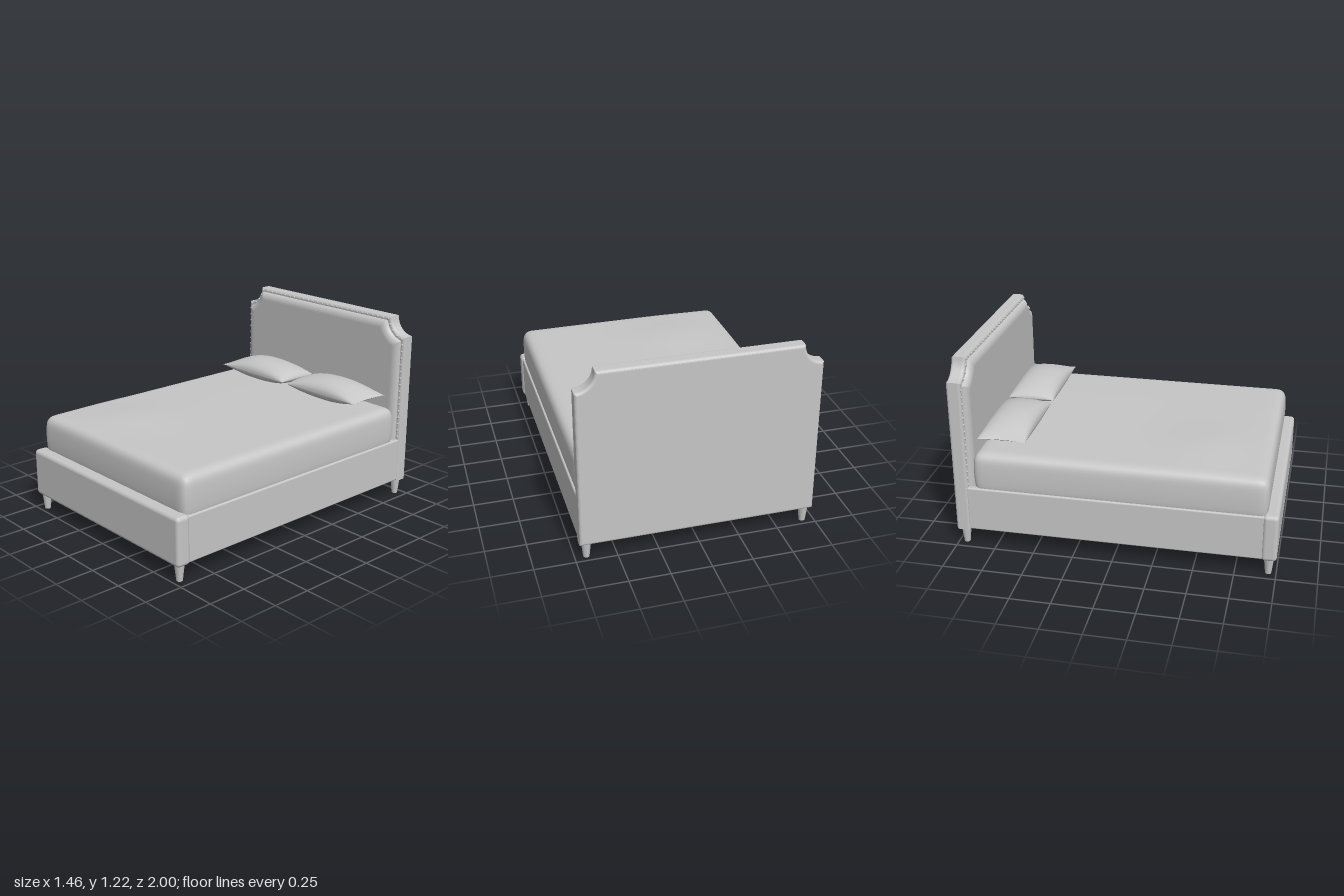
import * as THREE from 'three';
import { RoundedBoxGeometry } from 'three/addons/geometries/RoundedBoxGeometry.js';
import { mergeVertices } from 'three/addons/utils/BufferGeometryUtils.js';

const fabric = new THREE.MeshStandardMaterial({ color: 0xc6c6c6 });
fabric.name = 'grey fabric';

function add(parent, name, geometry, x = 0, y = 0, z = 0) {
  const mesh = new THREE.Mesh(geometry, fabric);
  mesh.name = name;
  mesh.position.set(x, y, z);
  parent.add(mesh);
  return mesh;
}

// Headboard edge with scooped upper corners, from lower right round to lower left
function headboardEdge(inset, bottom, Type) {
  const w = 0.725, top = 1.22, r = 0.118 + inset;
  const reach = Math.sqrt(r * r - inset * inset);
  const p = new Type();
  p.moveTo(w - inset, bottom);
  p.lineTo(w - inset, top - reach);
  p.absarc(w, top, r, Math.atan2(-reach, -inset), Math.atan2(-inset, -reach) - (inset ? 0 : 0.0001), true);
  p.lineTo(reach - w, top - inset);
  p.absarc(-w, top, r, Math.atan2(-inset, reach), Math.atan2(-reach, inset), true);
  p.lineTo(inset - w, bottom);
  return p;
}

function headboardSlab(inset, bottom, depth, bevelThickness, bevelSize, bevelSegments) {
  const shape = headboardEdge(inset + bevelSize, bottom, THREE.Shape);
  return new THREE.ExtrudeGeometry(shape, {
    depth, bevelThickness, bevelSize, bevelSegments, curveSegments: 12,
  });
}

// Rounded block with dense rows near its edges, full sides and a slightly rumpled top
function mattressGeometry(w, h, d, r) {
  const g = new THREE.BoxGeometry(2, 2, 2, 32, 16, 32);
  const pos = g.attributes.position;
  const half = new THREE.Vector3(w / 2, h / 2, d / 2);
  const core = half.clone().subScalar(r);
  const low = core.clone().negate();
  const p = new THREE.Vector3(), c = new THREE.Vector3();
  const spread = (t) => Math.sin(t * Math.PI / 2);
  for (let i = 0; i < pos.count; i++) {
    p.fromBufferAttribute(pos, i);
    p.set(spread(p.x), spread(p.y), spread(p.z)).multiply(half);
    c.copy(p).clamp(low, core);
    p.sub(c).setLength(r).add(c);
    const waist = 0.012 * (p.y / half.y) ** 2;
    p.x *= 1 - waist;
    p.z *= 1 - waist;
    if (p.y > 0) {
      const bump = Math.exp(-(((p.x + 0.3) / 0.28) ** 2) - ((p.z - 0.5) / 0.25) ** 2);
      p.y += (p.y / half.y) * (0.018 * bump + 0.005 * Math.cos(p.x * 2));
    }
    pos.setXYZ(i, p.x, p.y, p.z);
  }
  g.deleteAttribute('normal');
  g.deleteAttribute('uv');
  const merged = mergeVertices(g, 1e-5);
  merged.computeVertexNormals();
  return merged;
}

// One puffed half of a pillow: face is 1 for the top, -1 for the underside;
// the end towards outer (+1 or -1) tapers to points, the other is blunt
function pillowHalf(face, height, outer) {
  const g = new THREE.PlaneGeometry(2, 2, 32, 24);
  g.rotateX(-face * Math.PI / 2);
  const pos = g.attributes.position;
  for (let i = 0; i < pos.count; i++) {
    const u = Math.sin(pos.getX(i) * Math.PI / 2);
    const v = Math.sin(pos.getZ(i) * Math.PI / 2);
    const tapered = u * outer > 0;
    const puff = Math.pow(Math.max(0, 1 - u * u), tapered ? 0.85 : 0.5)
      * Math.pow(Math.max(0, 1 - v * v), 0.42);
    const x = 0.302 * u * (1 - (tapered ? 0.06 : 0.01) * (1 - v * v) * u * u);
    const z = 0.151 * v * (1 - 0.02 * (1 - u * u) * v * v);
    pos.setXYZ(i, x, face * height * puff, z);
  }
  g.computeVertexNormals();
  return g;
}

export function createModel() {
  const bed = new THREE.Group();
  bed.name = 'bed';

  // Headboard: back slab, padded front and a row of nail heads
  const headboard = new THREE.Group();
  headboard.name = 'headboard';
  bed.add(headboard);
  add(headboard, 'headboardSlab', headboardSlab(0, 0.122, 0.054, 0.018, 0.018, 5), 0, 0, -0.982);
  add(headboard, 'headboardPadding', headboardSlab(0.026, 0.36, 0.01, 0.037, 0.05, 8), 0, 0, -0.922);

  const nailPath = headboardEdge(0.016, 0.42, THREE.Path);
  const nailGeometry = new THREE.SphereGeometry(0.0085, 10, 6);
  nailGeometry.scale(1, 1, 0.7);
  const nailCount = Math.round(nailPath.getLength() / 0.045);
  for (const p of nailPath.getSpacedPoints(nailCount)) {
    add(headboard, 'nailHead', nailGeometry, p.x, p.y, -0.909);
  }

  // Upholstered frame
  add(bed, 'footboard', new RoundedBoxGeometry(1.458, 0.308, 0.095, 6, 0.025), 0, 0.256, 0.9525);
  const railGeometry = new RoundedBoxGeometry(0.04, 0.29, 1.84, 3, 0.01);
  const cleatGeometry = new THREE.BoxGeometry(0.025, 0.03, 1.75);
  const legGeometry = new THREE.CylinderGeometry(0.032, 0.019, 0.115, 20);
  for (const side of [1, -1]) {
    add(bed, 'sideRail', railGeometry, side * 0.7, 0.255, 0);
    add(bed, 'slatCleat', cleatGeometry, side * 0.668, 0.315, 0);
    for (const z of [0.952, -0.952]) add(bed, 'leg', legGeometry, side * 0.68, 0.0575, z);
  }

  // Slats, centre beam and its two posts
  const slatGeometry = new THREE.BoxGeometry(1.36, 0.018, 0.07);
  const slats = 16;
  for (let i = 0; i < slats; i++) {
    add(bed, 'slat', slatGeometry, 0, 0.339, -0.84 + (i * 1.68) / (slats - 1));
  }
  add(bed, 'centreBeam', new THREE.BoxGeometry(0.04, 0.034, 1.82), 0, 0.313, 0);
  const postGeometry = new THREE.BoxGeometry(0.035, 0.3, 0.025);
  for (const z of [0.285, -0.285]) add(bed, 'centrePost', postGeometry, 0, 0.15, z);

  // Bedding
  add(bed, 'mattress', mattressGeometry(1.424, 0.28, 1.816, 0.055), 0, 0.49, 0.027);
  for (const side of [1, -1]) {
    const pillow = new THREE.Group();
    pillow.name = side > 0 ? 'leftPillow' : 'rightPillow';
    pillow.position.set(side * 0.327 - 0.005, 0.7, -0.71);
    bed.add(pillow);
    add(pillow, 'pillowTop', pillowHalf(1, 0.083, side));
    add(pillow, 'pillowUnderside', pillowHalf(-1, 0.065, side));
  }
  return bed;
}
